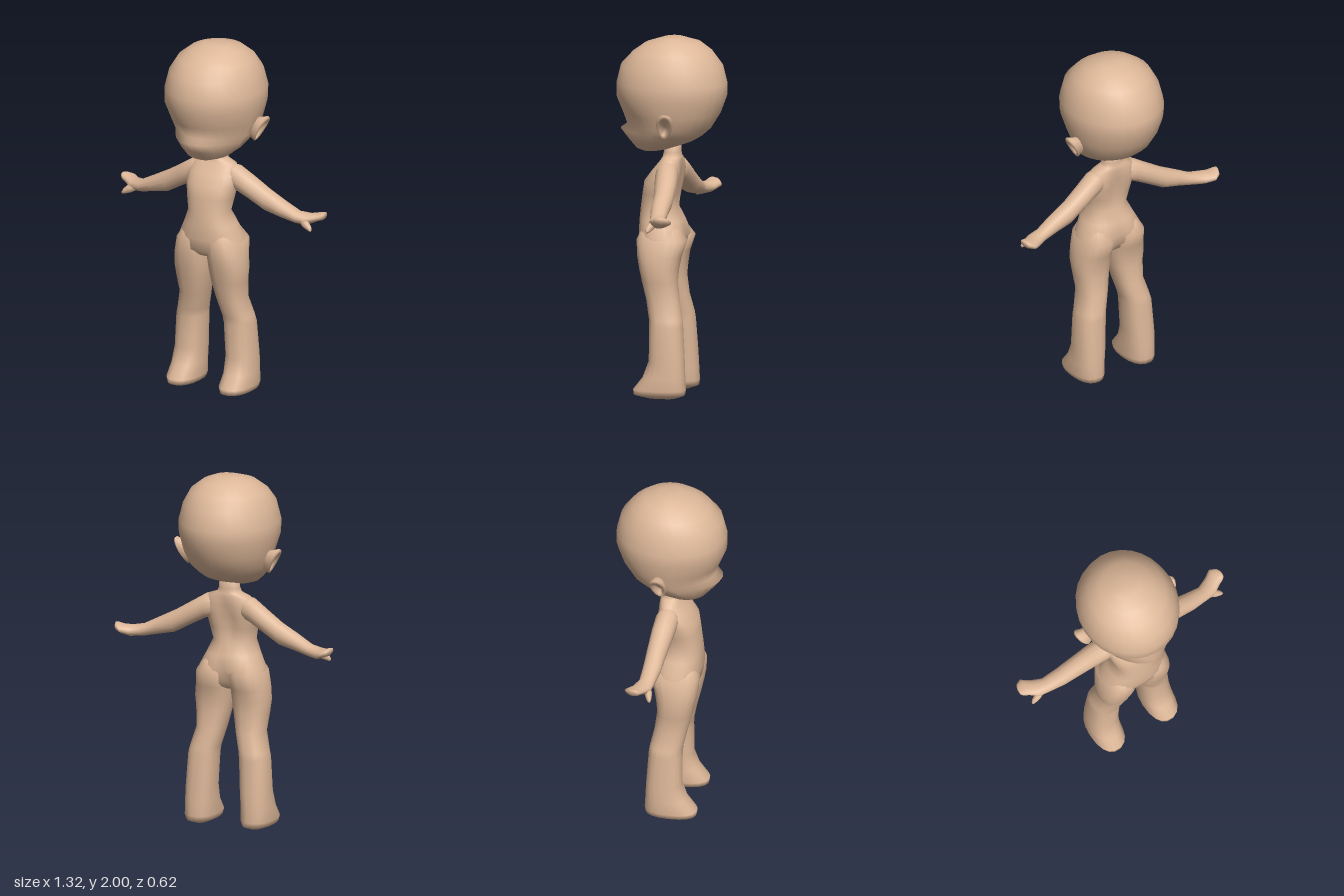
import * as THREE from 'three';

// Skin a stack of rings into a closed smooth solid; winding is set so faces point outward
function loft(rings) {
  const n = rings[0].length, pos = [], idx = [];
  rings.forEach(r => r.forEach(p => pos.push(p.x, p.y, p.z)));
  for (let i = 0; i < rings.length - 1; i++) {
    for (let j = 0; j < n; j++) {
      const k = (j + 1) % n, a = i * n + j, b = i * n + k, c = a + n, d = b + n;
      idx.push(a, b, c, b, d, c);
    }
  }
  [0, rings.length - 1].forEach(i => {
    const mid = new THREE.Vector3();
    rings[i].forEach(p => mid.addScaledVector(p, 1 / n));
    const m = pos.length / 3;
    pos.push(mid.x, mid.y, mid.z);
    for (let j = 0; j < n; j++) {
      const a = i * n + j, b = i * n + (j + 1) % n;
      if (i === 0) idx.push(m, b, a); else idx.push(m, a, b);
    }
  });
  const at = i => new THREE.Vector3(pos[3 * i], pos[3 * i + 1], pos[3 * i + 2]);
  let volume = 0;
  for (let i = 0; i < idx.length; i += 3) volume += at(idx[i]).dot(at(idx[i + 1]).cross(at(idx[i + 2])));
  if (volume < 0) idx.reverse();
  const g = new THREE.BufferGeometry();
  g.setAttribute('position', new THREE.Float32BufferAttribute(pos, 3));
  g.setIndex(idx);
  g.computeVertexNormals();
  return g;
}

// n points from fn(cos, sin); power below 1 makes the section squarer
function ring(n, power, fn) {
  const soft = v => Math.sign(v) * Math.pow(Math.abs(v), power);
  return Array.from({ length: n }, (_, i) => {
    const t = (i / n) * Math.PI * 2;
    return new THREE.Vector3(...fn(soft(Math.cos(t)), soft(Math.sin(t))));
  });
}

const lerp = THREE.MathUtils.lerp;

export function createModel() {
  const group = new THREE.Group();
  const skin = new THREE.MeshStandardMaterial({ color: 0xdeb899 });
  skin.name = 'skin';
  const add = (name, rings) => {
    const mesh = new THREE.Mesh(loft(rings), skin);
    mesh.name = name;
    group.add(mesh);
  };

  // Head: half width, front y, front z, back y, back z, front narrowing
  add('head', [
    [0.08, 2.0, 0.05, 2.0, -0.07, 1],
    [0.15, 1.97, 0.145, 1.975, -0.165, 1],
    [0.215, 1.92, 0.215, 1.925, -0.23, 1],
    [0.255, 1.85, 0.28, 1.85, -0.287, 1],
    [0.28, 1.75, 0.305, 1.75, -0.312, 1],
    [0.277, 1.67, 0.305, 1.68, -0.312, 1],
    [0.255, 1.58, 0.268, 1.58, -0.275, 1.15],
    [0.228, 1.515, 0.245, 1.5, -0.225, 1.3],
    [0.21, 1.487, 0.285, 1.455, -0.175, 1.7],
    [0.175, 1.43, 0.24, 1.425, -0.125, 1.4],
    [0.13, 1.378, 0.195, 1.405, -0.07, 1.1],
    [0.07, 1.36, 0.15, 1.38, 0, 1],
  ].map(([w, yF, zF, yB, zB, narrow]) => ring(28, 1, (c, s) => {
    const mid = (zF + zB) / 2;
    const z = s > 0 ? mid + (zF - mid) * Math.pow(s, narrow) : mid + (mid - zB) * s;
    return [w * c, lerp(yB, yF, (s + 1) / 2), z];
  })));

  // Neck and torso: y, half width, back z, front z, spine hollow
  add('torso', [
    [1.42, 0.055, -0.055, 0.03, 0],
    [1.36, 0.06, -0.055, 0.04, 0],
    [1.335, 0.07, -0.06, 0.045, 0],
    [1.315, 0.125, -0.065, 0.055, 0],
    [1.26, 0.152, -0.075, 0.1, 0.02],
    [1.2, 0.15, -0.07, 0.145, 0.03],
    [1.13, 0.138, -0.055, 0.157, 0.02],
    [1.05, 0.12, -0.04, 0.168, 0],
    [0.98, 0.15, -0.075, 0.174, 0],
    [0.9, 0.19, -0.105, 0.176, 0.02],
    [0.83, 0.203, -0.09, 0.165, 0.03],
    [0.795, 0.185, -0.05, 0.13, 0],
    [0.78, 0.1, -0.02, 0.08, 0],
  ].map(([y, w, zB, zF, hollow]) => ring(24, 0.88, (c, s) => {
    const dent = s < 0 ? hollow * Math.exp(-Math.pow(w * c / 0.05, 2)) : 0;
    return [w * c, y, lerp(zB, zF, (s + 1) / 2) + dent];
  })));

  for (const side of [1, -1]) {
    const label = side > 0 ? 'left' : 'right';

    // Leg and foot: y, inner x, outer x, back z, front z
    add(label + 'Leg', [
      [0.95, 0.03, 0.15, -0.06, 0.14],
      [0.88, 0, 0.196, -0.112, 0.172],
      [0.79, 0, 0.212, -0.08, 0.166],
      [0.72, 0.005, 0.22, -0.067, 0.153],
      [0.65, 0.015, 0.213, -0.06, 0.138],
      [0.545, 0.037, 0.202, -0.073, 0.112],
      [0.44, 0.065, 0.23, -0.095, 0.09],
      [0.4, 0.07, 0.24, -0.1, 0.087],
      [0.21, 0.08, 0.252, -0.112, 0.087],
      [0.12, 0.084, 0.257, -0.116, 0.12],
      [0.05, 0.08, 0.262, -0.12, 0.175],
      [0.02, 0.09, 0.252, -0.115, 0.172],
      [0, 0.135, 0.2, -0.06, 0.1],
    ].map(([y, xI, xO, zB, zF]) => ring(18, 0.85, (c, s) =>
      [side * lerp(xI, xO, (c + 1) / 2), y, lerp(zB, zF, (s + 1) / 2)])));

    // Arm and mitten hand: x, bottom y, top y, back z, front z
    add(label + 'Arm', [
      [0.06, 1.2, 1.32, -0.05, 0.05],
      [0.14, 1.17, 1.312, -0.07, 0.06],
      [0.22, 1.128, 1.262, -0.078, 0.045],
      [0.32, 1.072, 1.2, -0.082, 0.028],
      [0.42, 1.05, 1.147, -0.082, 0.02],
      [0.51, 1.03, 1.1, -0.086, 0.002],
      [0.57, 1.028, 1.09, -0.115, -0.005],
      [0.615, 1.048, 1.094, -0.143, -0.035],
      [0.648, 1.06, 1.103, -0.125, -0.05],
      [0.66, 1.075, 1.103, -0.1, -0.06],
    ].map(([x, yB, yT, zB, zF]) => ring(14, 0.95, (c, s) =>
      [side * x, lerp(yB, yT, (s + 1) / 2), lerp(zB, zF, (c + 1) / 2)])));

    // Thumb: x, y, z, radius
    add(label + 'Thumb', [
      [0.535, 1.06, -0.03, 0.02],
      [0.575, 1.04, -0.018, 0.022],
      [0.605, 1.023, -0.01, 0.015],
      [0.617, 1.012, -0.006, 0.007],
    ].map(([x, y, z, r]) => ring(8, 1, (c, s) => [side * (x + 0.4 * r * s), y + r * s, z + r * c])));

    // Ear, from its root to the flared rim and sunken bowl: x, tilt, half height, half depth
    add(label + 'Ear', [
      [0.215, 0.01, 0.055, 0.03],
      [0.255, 0.025, 0.065, 0.038],
      [0.28, 0.035, 0.075, 0.046],
      [0.288, 0.035, 0.068, 0.04],
      [0.284, 0.035, 0.052, 0.028],
      [0.262, 0.03, 0.035, 0.016],
    ].map(([x, tilt, h, d]) => ring(14, 1, (c, s) =>
      [side * (x + tilt * s), 1.545 + h * s, -0.025 + d * c * (1 + 0.2 * s) - 0.008 * s])));
  }
  return group;
}
